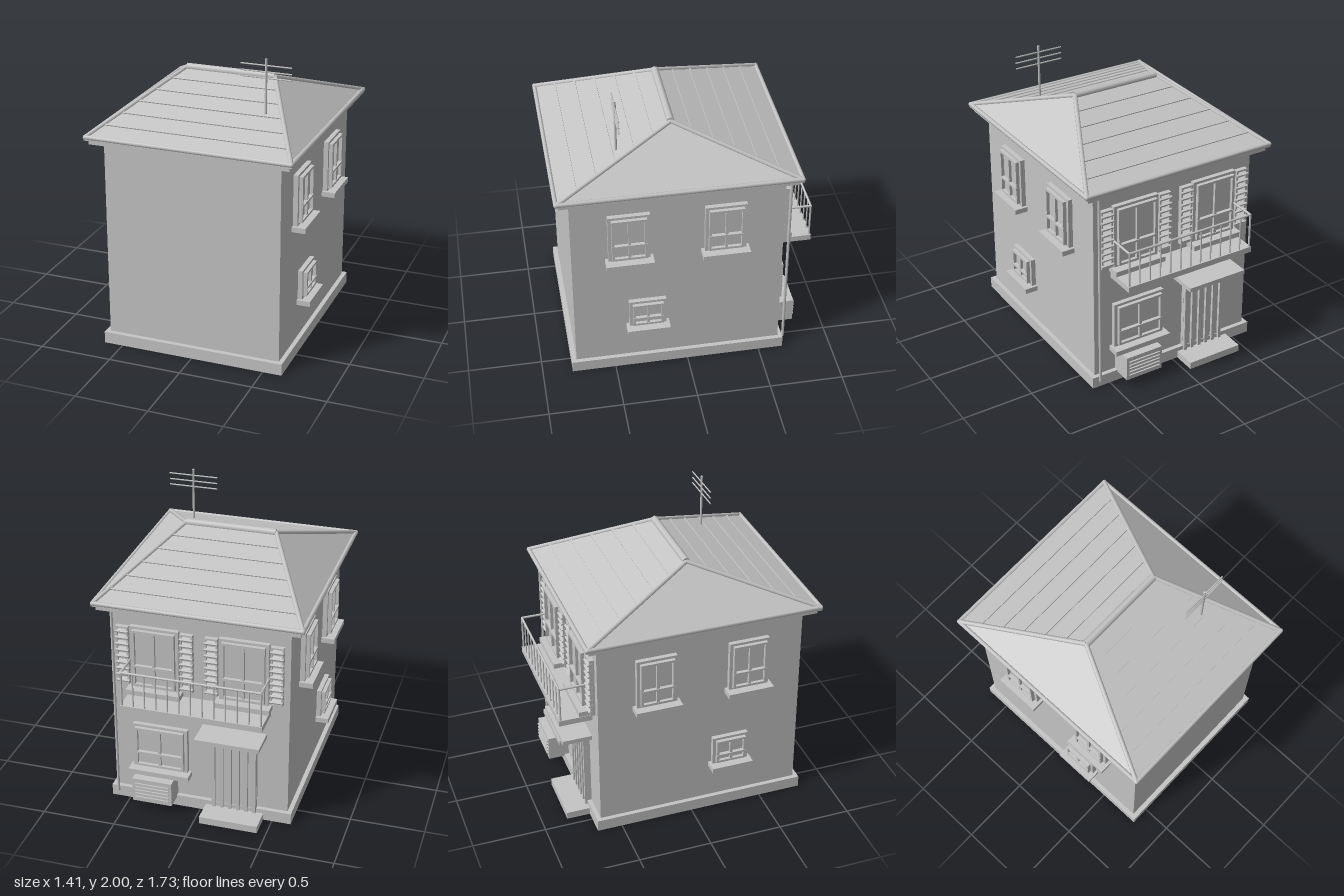
import * as THREE from 'three';

const plaster = new THREE.MeshStandardMaterial({ color: 0xc4c4c4 });
plaster.name = 'plain grey';

const ZC = 0.0625; // centre of the house body along z
const BACK = -0.64; // back wall plane

function add(parent, name, geometry, x = 0, y = 0, z = 0) {
  const mesh = new THREE.Mesh(geometry, plaster);
  mesh.name = name;
  mesh.position.set(x, y, z);
  parent.add(mesh);
  return mesh;
}

// Box given by its extents
function block(parent, name, x0, x1, y0, y1, z0, z1) {
  return add(parent, name, new THREE.BoxGeometry(x1 - x0, y1 - y0, z1 - z0),
    (x0 + x1) / 2, (y0 + y1) / 2, (z0 + z1) / 2);
}

// Round bar between two points
function bar(parent, name, a, b, r, sides = 8) {
  const from = new THREE.Vector3(...a), to = new THREE.Vector3(...b);
  const dir = to.clone().sub(from);
  const mesh = add(parent, name, new THREE.CylinderGeometry(r, r, dir.length(), sides));
  mesh.position.copy(from).add(to).multiplyScalar(0.5);
  mesh.quaternion.setFromUnitVectors(new THREE.Vector3(0, 1, 0), dir.normalize());
  return mesh;
}

// Rectangular ring centred on the origin, extruded towards +z
function ring(w, h, t, depth) {
  const rect = (Type, a, b) => {
    const p = new Type();
    p.moveTo(-a, -b); p.lineTo(a, -b); p.lineTo(a, b); p.lineTo(-a, b); p.closePath();
    return p;
  };
  const shape = rect(THREE.Shape, w / 2, h / 2);
  shape.holes.push(rect(THREE.Path, w / 2 - t, h / 2 - t));
  return new THREE.ExtrudeGeometry(shape, { depth, bevelEnabled: false });
}

// Window facing local +z, its bottom centre at the origin
function makeWindow(w, h, withShutters = false) {
  const g = new THREE.Group();
  g.name = 'window';
  add(g, 'windowTrim', ring(w, h, 0.024, 0.032), 0, h / 2, 0);
  const iw = w - 0.044, ih = h - 0.034;
  block(g, 'windowPane', -iw / 2, iw / 2, 0.01, h - 0.02, 0, 0.035);
  add(g, 'casement', ring(iw, ih, 0.016, 0.032), 0, h / 2, 0.025);
  block(g, 'mullion', -0.009, 0.009, 0.02, h - 0.02, 0.03, 0.054);
  block(g, 'crossbar', -iw / 2, iw / 2, h * 0.37 - 0.007, h * 0.37 + 0.007, 0.03, 0.06);
  block(g, 'windowSill', -w / 2 - 0.02, w / 2 + 0.02, -0.035, 0, 0, 0.092);
  if (withShutters) {
    for (const s of [-1, 1]) {
      const sx = s * (w / 2 + 0.052);
      add(g, 'shutterFrame', ring(0.085, h - 0.02, 0.012, 0.032), sx, h / 2, 0.004);
      block(g, 'shutterPanel', sx - 0.035, sx + 0.035, 0.02, h - 0.02, 0, 0.016);
      for (let i = 0; i < 9; i++) {
        const y = 0.04 + (i * (h - 0.08)) / 8;
        const slat = block(g, 'shutterSlat', sx - 0.044, sx + 0.044, y - 0.005, y + 0.005, 0.012, 0.048);
        slat.rotation.x = 0.35;
      }
    }
  }
  return g;
}

function place(parent, part, x, y, z, turn) {
  part.position.set(x, y, z);
  part.rotation.y = turn;
  parent.add(part);
}

// Hipped roof with edge tubes, ridge cap and tile courses
function makeRoof() {
  const g = new THREE.Group();
  g.name = 'roof';
  g.position.z = ZC;
  const X = 0.69, Z = 0.785, R = 0.31, y0 = 1.485, y1 = 1.768;
  block(g, 'eaveSoffit', -0.675, 0.675, 1.435, 1.467, -0.772, 0.772);
  block(g, 'eaveBoard', -0.698, 0.698, 1.465, y0, -0.793, 0.793);

  const FL = [-X, y0, Z], FR = [X, y0, Z], BR = [X, y0, -Z], BL = [-X, y0, -Z];
  const L = [-R, y1, 0], T = [R, y1, 0];
  const faces = [FL, FR, T, FL, T, L, BR, BL, L, BR, L, T, FR, BR, T, BL, FL, L];
  const slopes = new THREE.BufferGeometry();
  slopes.setAttribute('position', new THREE.Float32BufferAttribute(faces.flat(), 3));
  slopes.computeVertexNormals();
  add(g, 'roofSlopes', slopes);

  const corners = [FL, FR, BR, BL], tops = [L, T, T, L];
  corners.forEach((c, i) => {
    bar(g, 'hipTrim', c, tops[i], 0.015);
    bar(g, 'eaveTrim', c, corners[(i + 1) % 4], 0.015);
    add(g, 'hipEnd', new THREE.SphereGeometry(0.016, 8, 6), ...c);
  });
  bar(g, 'ridgeCap', L, T, 0.026, 8);

  const tilt = Math.atan2(y1 - y0, Z);
  for (const s of [-1, 1]) {
    for (let i = 1; i <= 5; i++) {
      const t = (i * 0.13) / Z;
      const half = R + (X - R) * t;
      const course = add(g, 'tileCourse', new THREE.BoxGeometry(half * 2, 0.014, 0.014),
        0, y1 + (y0 - y1) * t, s * Z * t);
      course.rotation.x = s * tilt;
    }
  }
  return g;
}

function makeAntenna() {
  const g = new THREE.Group();
  g.name = 'antenna';
  g.position.set(0.375, 0, 0.425);
  bar(g, 'antennaMast', [0, 1.625, 0], [0, 2, 0], 0.008);
  for (const y of [1.955, 1.913, 1.873]) bar(g, 'antennaRod', [-0.17, y, 0], [0.17, y, 0], 0.005, 6);
  return g;
}

function makeBalcony() {
  const g = new THREE.Group();
  g.name = 'balcony';
  const w = 0.465, z = -0.853, top = 1.085;
  block(g, 'balconySlab', -0.475, 0.475, 0.805, 0.845, -0.865, BACK);
  bar(g, 'handrail', [-w, top, z], [w, top, z], 0.008);
  for (const s of [-1, 1]) bar(g, 'sideRail', [s * w, top, z], [s * w, top, BACK], 0.008);
  for (let i = 0; i <= 12; i++) {
    const x = -w + (i * 2 * w) / 12;
    bar(g, 'baluster', [x, 0.83, z], [x, top, z], i % 12 ? 0.005 : 0.007, 6);
  }
  return g;
}

// Entrance: ribbed door, step and canopy
function makeEntrance() {
  const g = new THREE.Group();
  g.name = 'entrance';
  block(g, 'doorStep', -0.44, -0.04, 0, 0.05, -0.83, BACK);
  block(g, 'canopy', -0.45, -0.015, 0.628, 0.658, -0.84, BACK);
  block(g, 'door', -0.39, -0.085, 0.05, 0.6, -0.665, BACK);
  for (let i = 0; i < 6; i++) {
    const x = -0.378 + i * 0.0562;
    block(g, 'doorRib', x - 0.011, x + 0.011, 0.05, 0.6, -0.685, -0.66);
  }
  return g;
}

function makeAirConditioner() {
  const g = new THREE.Group();
  g.name = 'airConditioner';
  block(g, 'unitBody', 0.165, 0.44, 0.065, 0.238, -0.785, -0.64);
  for (let i = 0; i < 5; i++) {
    const y = 0.1 + i * 0.026;
    block(g, 'unitSlat', 0.185, 0.42, y - 0.004, y + 0.004, -0.796, -0.78);
  }
  return g;
}

export function createModel() {
  const house = new THREE.Group();
  house.name = 'house';
  block(house, 'plinth', -0.63, 0.63, 0, 0.08, -0.67, 0.798);
  block(house, 'walls', -0.6, 0.6, 0.08, 1.44, BACK, 0.765);
  house.add(makeRoof(), makeAntenna(), makeBalcony(), makeEntrance(), makeAirConditioner());

  // Side windows, the same on both sides
  for (const s of [-1, 1]) {
    const turn = (s * Math.PI) / 2;
    for (const z of [0.388, -0.247]) place(house, makeWindow(0.275, 0.35), s * 0.6, 0.94, z, turn);
    place(house, makeWindow(0.25, 0.205), s * 0.6, 0.36, 0.272, turn);
    place(house, makeWindow(0.33, 0.44, true), s * 0.3, 0.89, BACK, Math.PI);
  }
  place(house, makeWindow(0.38, 0.325), 0.275, 0.275, BACK, Math.PI);

  bar(house, 'drainpipe', [0.58, 0.05, -0.682], [0.58, 1.44, -0.682], 0.01);
  return house;
}
